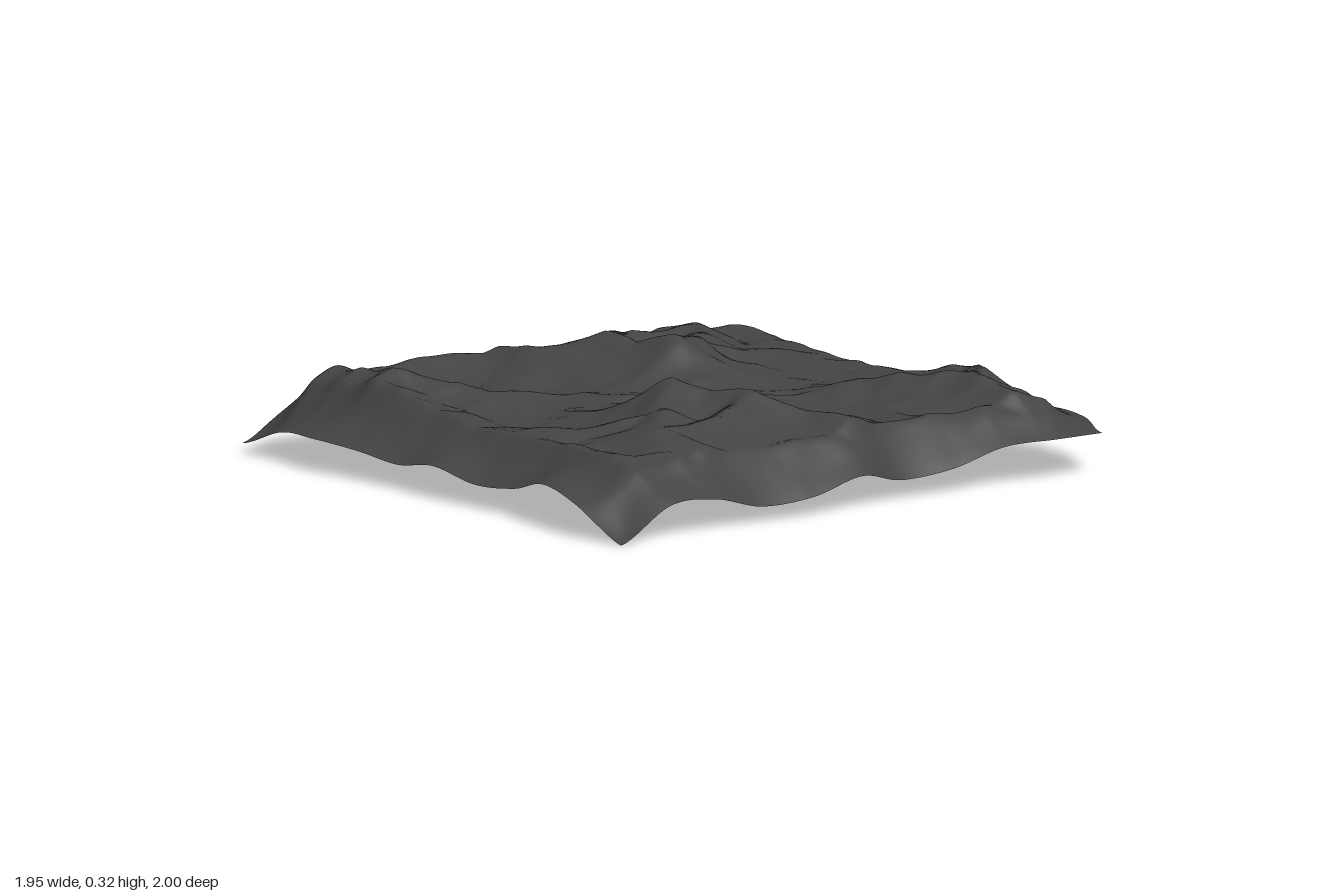
import * as THREE from 'three';

// Evenly spaced samples read as a smooth curve over t = 0..1
function curve(values) {
  const n = values.length - 1;
  const at = (i) => values[Math.min(n, Math.max(0, i))];
  return (t) => {
    const i = Math.min(n - 1, Math.floor(t * n));
    const f = t * n - i;
    const [a, b, c, d] = [at(i - 1), at(i), at(i + 1), at(i + 2)];
    return b + 0.5 * f * (c - a + f * (2 * a - 5 * b + 4 * c - d + f * (3 * (b - c) + d - a)));
  };
}

// Outline and height of the four wavy borders (left to right, back to front)
const border = {
  frontZ: curve([0.925, 0.925, 0.95, 0.935, 0.93, 0.945, 0.935, 0.935, 0.975, 1, 0.975]),
  frontY: curve([0.03, 0.09, 0.1, 0.09, 0.075, 0.1, 0.07, 0.085, 0.13, 0.1, 0]),
  backZ: curve([-1, -1, -0.99, -0.96, -0.94, -0.95, -0.935, -0.95, -0.985, -0.955, -0.87]),
  backY: curve([0.03, 0.1, 0.13, 0.11, 0.1, 0.1, 0.08, 0.11, 0.13, 0.13, 0.12]),
  leftX: curve([-0.95, -0.935, -0.95, -0.93, -0.965, -0.925, -0.96, -0.975, -0.94, -0.935, -0.9]),
  leftY: curve([0.03, 0.09, 0.12, 0.09, 0.1, 0.11, 0.1, 0.085, 0.1, 0.1, 0.03]),
  rightX: curve([0.93, 0.95, 0.93, 0.92, 0.905, 0.95, 0.955, 0.94, 0.955, 0.97, 0.965]),
  rightY: curve([0.12, 0.125, 0.12, 0.075, 0.06, 0.1, 0.06, 0.05, 0.095, 0.1, 0]),
};

// Crest lines as points of x, z, height; the land repeats under a half turn
const crests = [
  [[-0.27, -0.22, 0.32], [-0.38, -0.17, 0.285], [-0.53, -0.14, 0.305], [-0.62, 0, 0.25], [-0.86, 0.04, 0.23]],
  [[-0.27, -0.22, 0.32], [-0.42, -0.38, 0.265], [-0.6, -0.55, 0.255], [-0.85, -0.58, 0.215]],
  [[-0.53, -0.14, 0.305], [-0.62, -0.32, 0.26], [-0.6, -0.55, 0.255]],
  [[-0.42, -0.38, 0.255], [-0.3, -0.6, 0.215], [-0.1, -0.76, 0.2]],
  [[-0.85, 0.67, 0.235], [-0.55, 0.67, 0.285], [-0.47, 0.76, 0.27], [-0.2, 0.79, 0.22], [0, 0.77, 0.195]],
  [[-0.55, 0.67, 0.285], [-0.29, 0.5, 0.23], [-0.2, 0.25, 0.2], [0, 0, 0.195]],
  [[-0.85, 0.67, 0.235], [-0.82, 0.32, 0.235], [-0.86, 0.04, 0.23], [-0.82, -0.28, 0.195], [-0.85, -0.58, 0.21],
    [-0.66, -0.77, 0.215], [-0.32, -0.77, 0.2], [0, -0.77, 0.195]],
];
const segments = [];
for (const line of crests) {
  for (let i = 1; i < line.length; i++) {
    for (const s of [1, -1]) segments.push([line[i - 1], line[i]].map(([x, z, y]) => [s * x, s * z, y]));
  }
}

// Small seeded value noise for the weathered surface
function hash(i, j) {
  const s = Math.sin(i * 127.1 + j * 311.7) * 43758.5453;
  return s - Math.floor(s);
}
function noise(x, z) {
  const i = Math.floor(x), j = Math.floor(z);
  const s = (t) => t * t * (3 - 2 * t);
  const fx = s(x - i), fz = s(z - j);
  const { lerp } = THREE.MathUtils;
  return lerp(lerp(hash(i, j), hash(i + 1, j), fx), lerp(hash(i, j + 1), hash(i + 1, j + 1), fx), fz) * 2 - 1;
}

// Hollow bowls that sweep up to the nearest crest
function landHeight(x, z) {
  const wx = x + 0.035 * noise(x * 6 + 3, z * 6);
  const wz = z + 0.035 * noise(x * 6, z * 6 + 9);
  const floor = 0.167;
  let h = floor;
  for (const [[ax, az, ay], [bx, bz, by]] of segments) {
    const dx = bx - ax, dz = bz - az;
    const t = THREE.MathUtils.clamp(((wx - ax) * dx + (wz - az) * dz) / (dx * dx + dz * dz), 0, 1);
    const d = Math.hypot(wx - ax - t * dx, wz - az - t * dz, 0.03) - 0.03;
    h = Math.max(h, floor + (ay + t * (by - ay) - floor) * Math.exp(-d / 0.14));
  }
  return h - 0.014 * Math.abs(noise(x * 7, z * 7)) + 0.004 + 0.004 * noise(x * 15, z * 15);
}

export function createModel() {
  const group = new THREE.Group();
  group.name = 'terrain';
  const { lerp } = THREE.MathUtils;

  // Thin sheet of land, stretched between its borders
  const geometry = new THREE.PlaneGeometry(1, 1, 140, 140);
  const p = geometry.attributes.position;
  for (let i = 0; i < p.count; i++) {
    const u = p.getX(i) + 0.5;
    const v = 0.5 - p.getY(i);
    const x = lerp(border.leftX(v), border.rightX(v), u);
    const z = lerp(border.backZ(u), border.frontZ(u), v);

    // Blend the border heights by nearness, then slope up to the land inside
    const sides = [
      [u, border.leftY(v)], [1 - u, border.rightY(v)],
      [v, border.backY(u)], [1 - v, border.frontY(u)],
    ];
    let sum = 0, weight = 0;
    for (const [d, y] of sides) {
      const w = 1 / (d + 0.003) ** 2;
      sum += w * y;
      weight += w;
    }
    const slopeX = Math.min(1, Math.min(u, 1 - u) / 0.075) ** 0.9;
    const slopeZ = Math.min(1, Math.min(v, 1 - v) / 0.095) ** 1.15;
    const y = lerp(sum / weight, landHeight(x, z), slopeX * slopeZ);
    p.setXYZ(i, x, Math.max(0, y), z);
  }
  geometry.computeVertexNormals();

  const material = new THREE.MeshStandardMaterial({ color: 0x444444, side: THREE.DoubleSide });
  const land = new THREE.Mesh(geometry, material);
  land.name = 'landSurface';
  group.add(land);
  return group;
}
